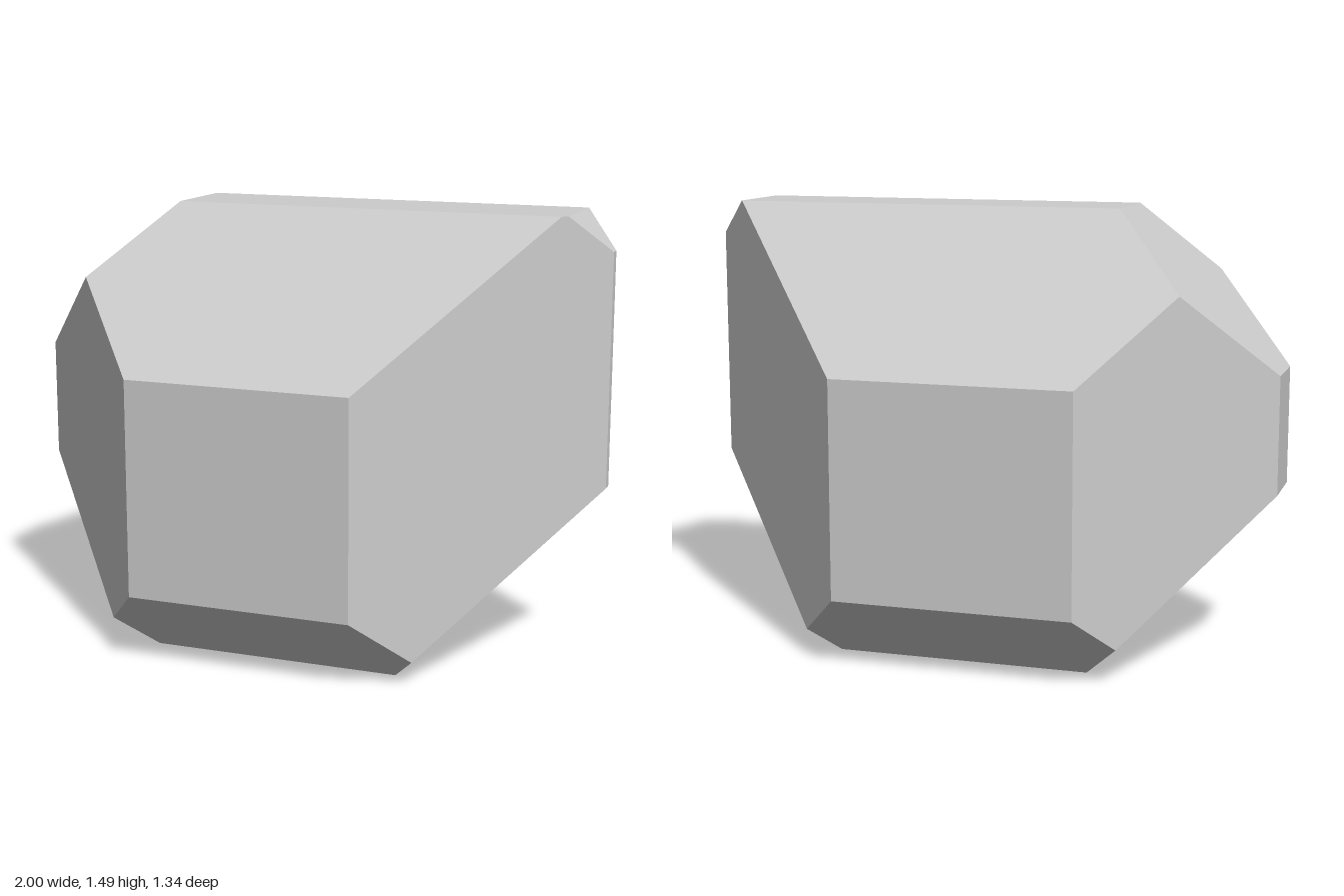
import * as THREE from 'three';

// Cutting planes of the crystal: normal (x, y, z) and the value of x*nx + y*ny + z*nz on the plane
const CUTS = [
  // six flat sides
  [1, 0, 0, 1], [-1, 0, 0, 1], [0, 1, 0, 1.49], [0, -1, 0, 0], [0, 0, 1, 0.67], [0, 0, -1, 0.67],
  // bevels between top / bottom and front / back
  [0, 1, 1, 1.64], [0, 1, -1, 1.64], [0, -1, 1, 0.43], [0, -1, -1, 0.43],
  // upright bevels
  [1, 0, 1, 1.01], [1, 0, -1, 1.025], [-1, 0, 1, 1.1], [-1, 0, -1, 1.12],
  // bevels between top / bottom and the two ends
  [1, 1, 0, 2.368], [-1, 1, 0, 1.958], [1, -1, 0, 0.416], [-1, -1, 0, 0.44],
].map(([x, y, z, d]) => ({ n: new THREE.Vector3(x, y, z), d }));

// Point shared by three planes, or null if they do not meet in one point
function meet(a, b, c) {
  const bc = b.n.clone().cross(c.n);
  const det = a.n.dot(bc);
  if (Math.abs(det) < 1e-6) return null;
  return bc.multiplyScalar(a.d)
    .addScaledVector(c.n.clone().cross(a.n), b.d)
    .addScaledVector(a.n.clone().cross(b.n), c.d)
    .divideScalar(det);
}

// Corners: meeting points that lie inside every plane
function findCorners(planes) {
  const corners = [];
  for (let i = 0; i < planes.length; i++)
    for (let j = i + 1; j < planes.length; j++)
      for (let k = j + 1; k < planes.length; k++) {
        const p = meet(planes[i], planes[j], planes[k]);
        if (!p || planes.some(({ n, d }) => n.dot(p) > d + 1e-5)) continue;
        if (!corners.some((q) => q.distanceTo(p) < 1e-4)) corners.push(p);
      }
  return corners;
}

// Solid bounded by the planes, each facet a fan of triangles
function cutSolid(planes) {
  const corners = findCorners(planes);
  const positions = [];
  for (const { n, d } of planes) {
    const ring = corners.filter((p) => Math.abs(n.dot(p) - d) < 1e-4);
    if (ring.length < 3) continue;
    const mid = ring.reduce((s, p) => s.add(p), new THREE.Vector3()).divideScalar(ring.length);
    const u = ring[0].clone().sub(mid).normalize();
    const v = n.clone().normalize().cross(u);
    const angle = (p) => {
      const r = p.clone().sub(mid);
      return Math.atan2(r.dot(v), r.dot(u));
    };
    ring.sort((a, b) => angle(a) - angle(b));
    for (let i = 1; i < ring.length - 1; i++)
      for (const p of [ring[0], ring[i], ring[i + 1]]) positions.push(p.x, p.y, p.z);
  }
  const geometry = new THREE.BufferGeometry();
  geometry.setAttribute('position', new THREE.Float32BufferAttribute(positions, 3));
  geometry.computeVertexNormals();
  return geometry;
}

export function createModel() {
  const group = new THREE.Group();
  group.name = 'facetedCrystal';
  const material = new THREE.MeshStandardMaterial({ color: 0xcccccc, flatShading: true });
  const crystal = new THREE.Mesh(cutSolid(CUTS), material);
  crystal.name = 'crystalBody';
  group.add(crystal);
  return group;
}
